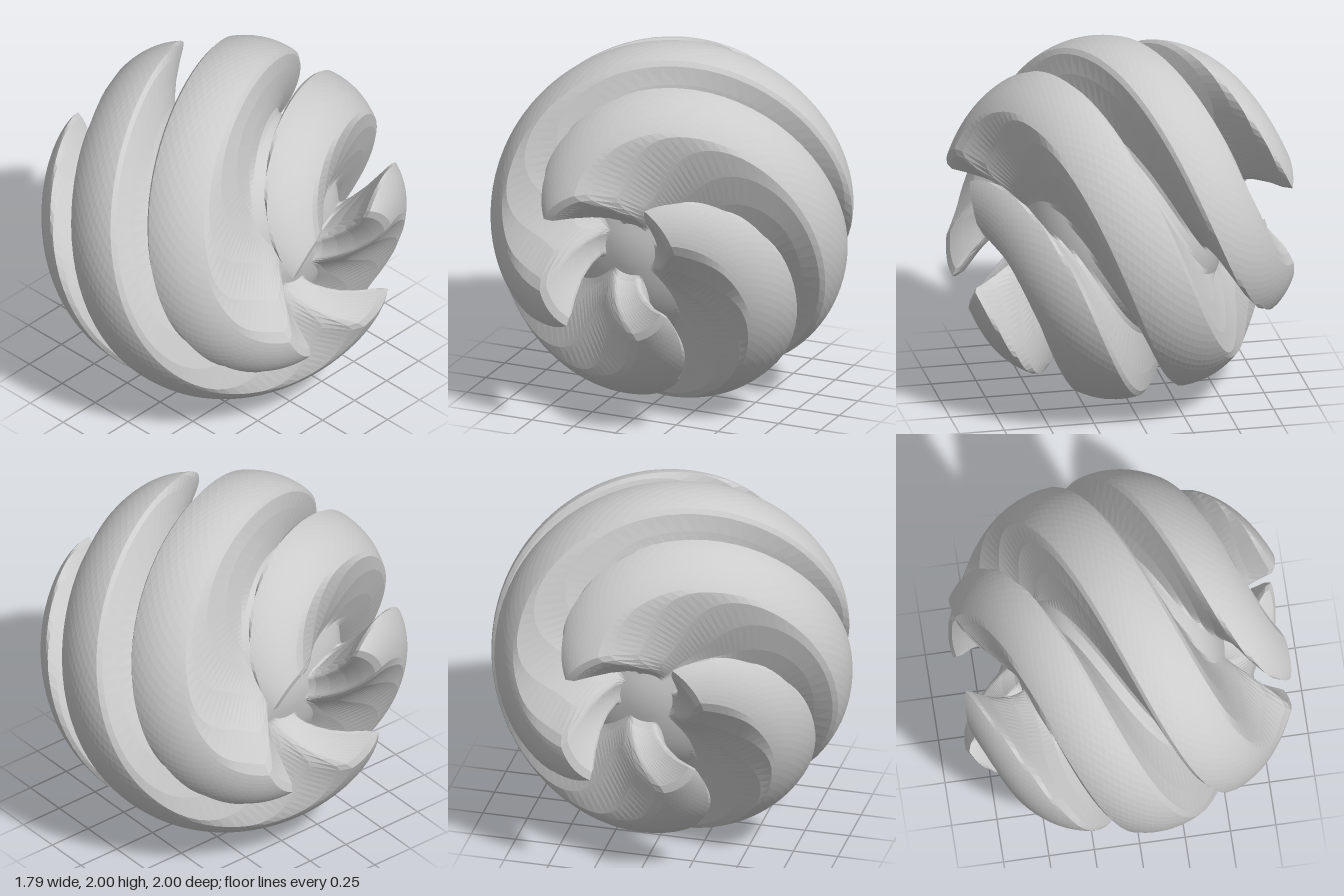
import * as THREE from 'three';

const LOBES = 4, COLS = 112, ROWS = 96;
const TWIST = 2.6; // radians of spiral per unit along the x axis
const step = THREE.MathUtils.smoothstep, lerp = THREE.MathUtils.lerp;

// Distance from the centre: t is the angle from the +x pole, d the offset
// from the nearest ridge crest (0 on the crest, 0.5 in the middle of a groove)
function radiusAt(t, d) {
  const pole = Math.min(t, Math.PI - t); // angle from the nearer pole
  const halfWidth = lerp(0.27, 0.38, step(pole, 0.5, 1.3)); // ridges narrow to the poles
  const wall = 1 - step(d, halfWidth - 0.08, halfWidth + 0.07);
  const crown = 1 - 0.08 * (d / halfWidth) ** 2;
  const tip = step(pole, 0.26, 0.46); // ridges stop short of the hollow pole
  const floor = 0.57 + 0.07 * step(pole, 0.2, 1.1);
  return floor + (1 - floor) * wall * crown * tip;
}

// Ball with four blades twisting around the x axis: every slice across the
// axis is turned by its own x, so the blade walls are helical
function spiralBallGeometry() {
  const positions = [], index = [];
  for (let i = 0; i <= ROWS; i++) {
    const t = (i / ROWS) * Math.PI;
    for (let j = 0; j < COLS; j++) {
      const phase = (j / COLS) * LOBES;
      const r = radiusAt(t, Math.abs(phase - Math.round(phase)));
      const x = r * Math.cos(t), out = r * Math.sin(t);
      const turn = (j / COLS) * Math.PI * 2 + TWIST * x;
      positions.push(x, out * Math.sin(turn), -out * Math.cos(turn));
    }
  }
  for (let i = 0; i < ROWS; i++) {
    for (let j = 0; j < COLS; j++) {
      const p = i * COLS + j, q = i * COLS + ((j + 1) % COLS);
      if (i < ROWS - 1) index.push(p, p + COLS, q + COLS);
      if (i > 0) index.push(p, q + COLS, q);
    }
  }
  const geometry = new THREE.BufferGeometry();
  geometry.setAttribute('position', new THREE.Float32BufferAttribute(positions, 3));
  geometry.setIndex(index);
  geometry.computeVertexNormals();
  return geometry;
}

export function createModel() {
  const model = new THREE.Group();
  model.name = 'spiralBall';
  const material = new THREE.MeshStandardMaterial({ color: 0xcccccc, flatShading: true });
  const ball = new THREE.Mesh(spiralBallGeometry(), material);
  ball.name = 'twistedRidges';
  ball.position.y = 1;
  model.add(ball);
  return model;
}
